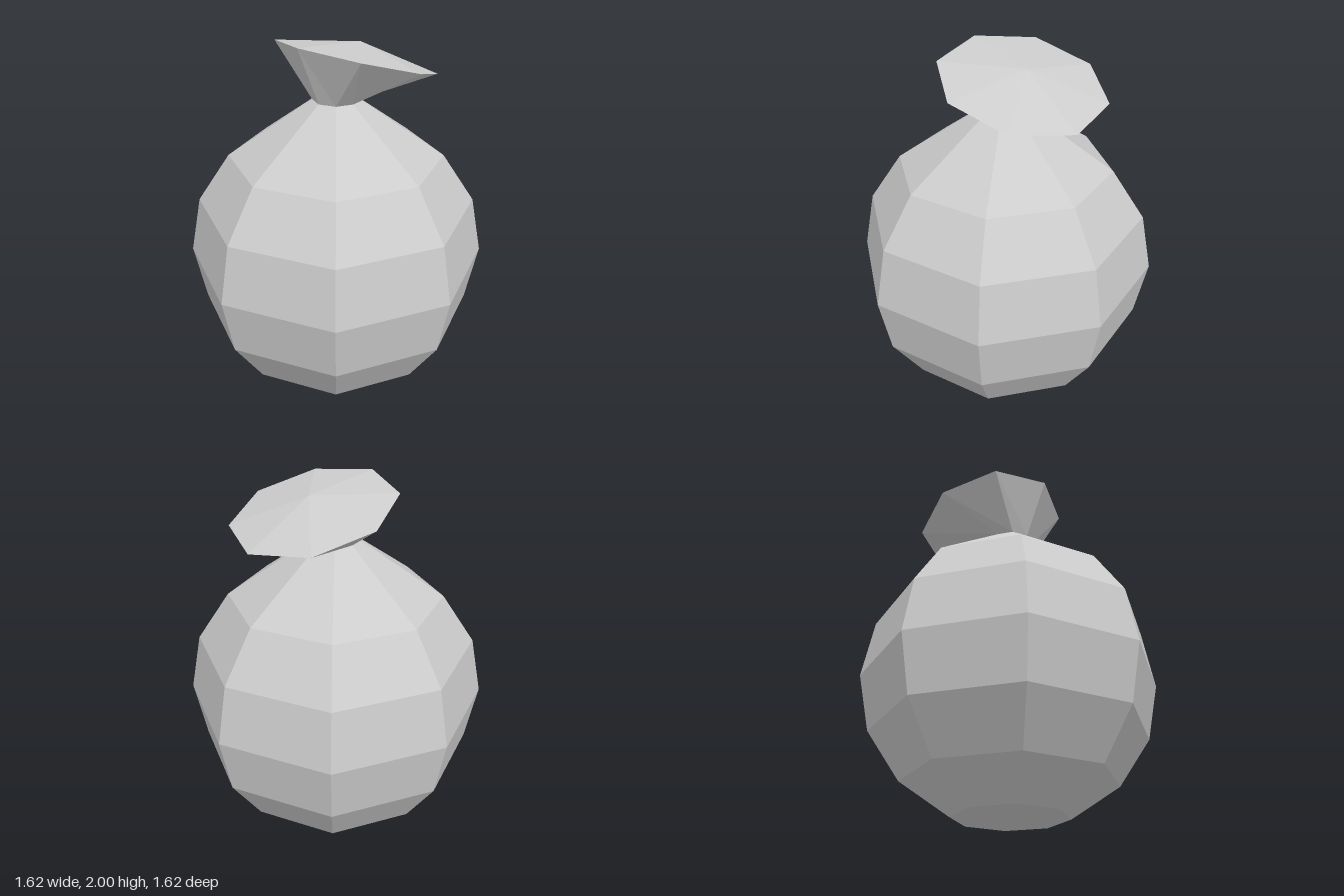
import * as THREE from 'three';

const SIDES = 8;

// Faceted lathe from [radius, height] pairs, with an optional rule that moves each vertex
function facetedLathe(name, profile, material, rule) {
  const lathe = new THREE.LatheGeometry(profile.map(([r, y]) => new THREE.Vector2(r, y)), SIDES);
  const position = lathe.attributes.position;
  const v = new THREE.Vector3();
  if (rule) {
    for (let i = 0; i < position.count; i++) {
      rule(v.fromBufferAttribute(position, i), i % profile.length);
      position.setXYZ(i, v.x, v.y, v.z);
    }
  }
  const geometry = lathe.toNonIndexed();
  geometry.computeVertexNormals();
  const mesh = new THREE.Mesh(geometry, material);
  mesh.name = name;
  return mesh;
}

export function createModel() {
  const cloth = new THREE.MeshStandardMaterial({ color: 0xcccccc, flatShading: true });
  cloth.name = 'light grey cloth';

  const group = new THREE.Group();
  group.name = 'tiedSack';

  // Round body: rings of a sphere, then a straight slope to the tied neck
  const R = 0.808;
  const profile = [];
  for (let i = 0; i <= 6; i++) {
    const a = (i * Math.PI) / 8;
    profile.push([R * Math.sin(a), R - R * Math.cos(a)]);
  }
  profile.push([0.123, 1.69]);
  group.add(facetedLathe('sackBody', profile, cloth));

  // Gathered top: flares from the neck to a tilted rim, closed by a shallow peak
  const flare = [[0.123, 1.69], [0.43, 1.88], [0, 1.955]];
  group.add(facetedLathe('gatheredTop', flare, cloth, (v, ring) => {
    if (ring === 1) {
      v.x *= 0.955;
      v.y -= v.x * 0.298;
      v.x += 0.15;
    } else if (ring === 2) {
      v.x += 0.18;
    }
  }));

  return group;
}
